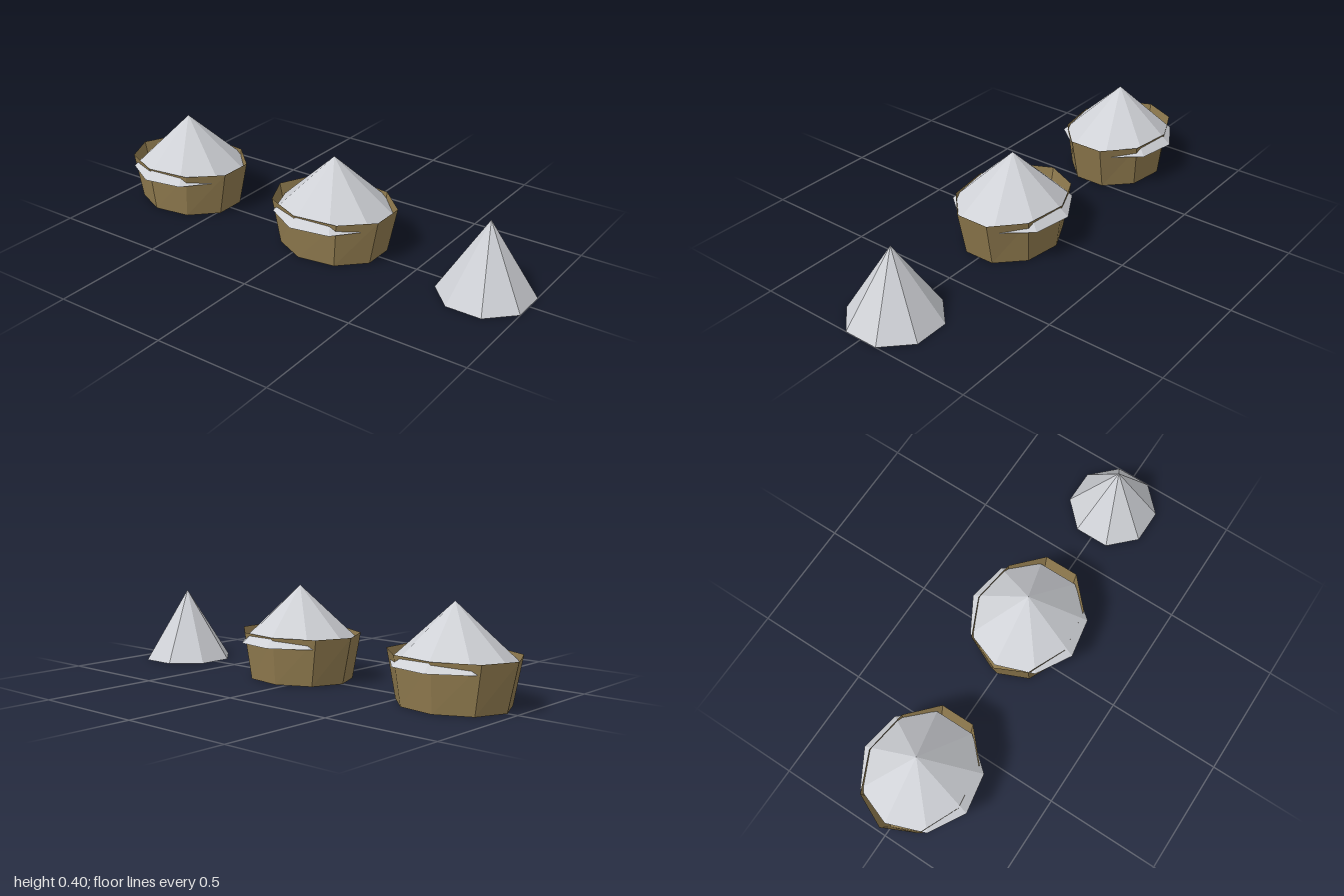
import * as THREE from 'three';

const SIDES = 9;

export function createModel() {
  const wood = new THREE.MeshStandardMaterial({ color: 0x8f7a4e, flatShading: true, side: THREE.DoubleSide });
  wood.name = 'brown basket';
  const grain = new THREE.MeshStandardMaterial({ color: 0xd0d2d7, flatShading: true });
  grain.name = 'pale grey heap';

  const add = (parent, name, geometry, material, y) => {
    const mesh = new THREE.Mesh(geometry, material);
    mesh.name = name;
    mesh.position.y = y;
    parent.add(mesh);
    return mesh;
  };

  // Open flared wall, stretched along x more at the rim than at the base
  const wall = new THREE.CylinderGeometry(0.223, 0.202, 0.2, SIDES, 1, true, -Math.PI / 2);
  const p = wall.attributes.position;
  for (let i = 0; i < p.count; i++) {
    p.setX(i, p.getX(i) * (p.getY(i) > 0 ? 1.282 : 1.198));
  }
  wall.computeVertexNormals();

  // Floor matching the foot of the wall
  const floor = new THREE.CircleGeometry(0.202, SIDES, Math.PI);
  floor.scale(1.198, 1, 1);
  floor.rotateX(Math.PI / 2);

  // Round heap that pokes through the long sides of the basket
  const heap = new THREE.ConeGeometry(0.2575, 0.24, SIDES, 1, false, -Math.PI / 2);

  const model = new THREE.Group();
  model.name = 'baskets and heap';

  [-0.714, 0.087].forEach((x, i) => {
    const basket = new THREE.Group();
    basket.name = `filledBasket${i + 1}`;
    basket.position.x = x;
    add(basket, 'basketWall', wall, wood, 0.1);
    add(basket, 'basketFloor', floor, wood, 0);
    add(basket, 'basketHeap', heap, grain, 0.28);
    model.add(basket);
  });

  // Loose heap on the ground
  const loose = new THREE.ConeGeometry(0.202, 0.32, 8, 1, false, Math.PI / 8);
  add(model, 'looseHeap', loose, grain, 0.16).position.x = 0.814;

  return model;
}
